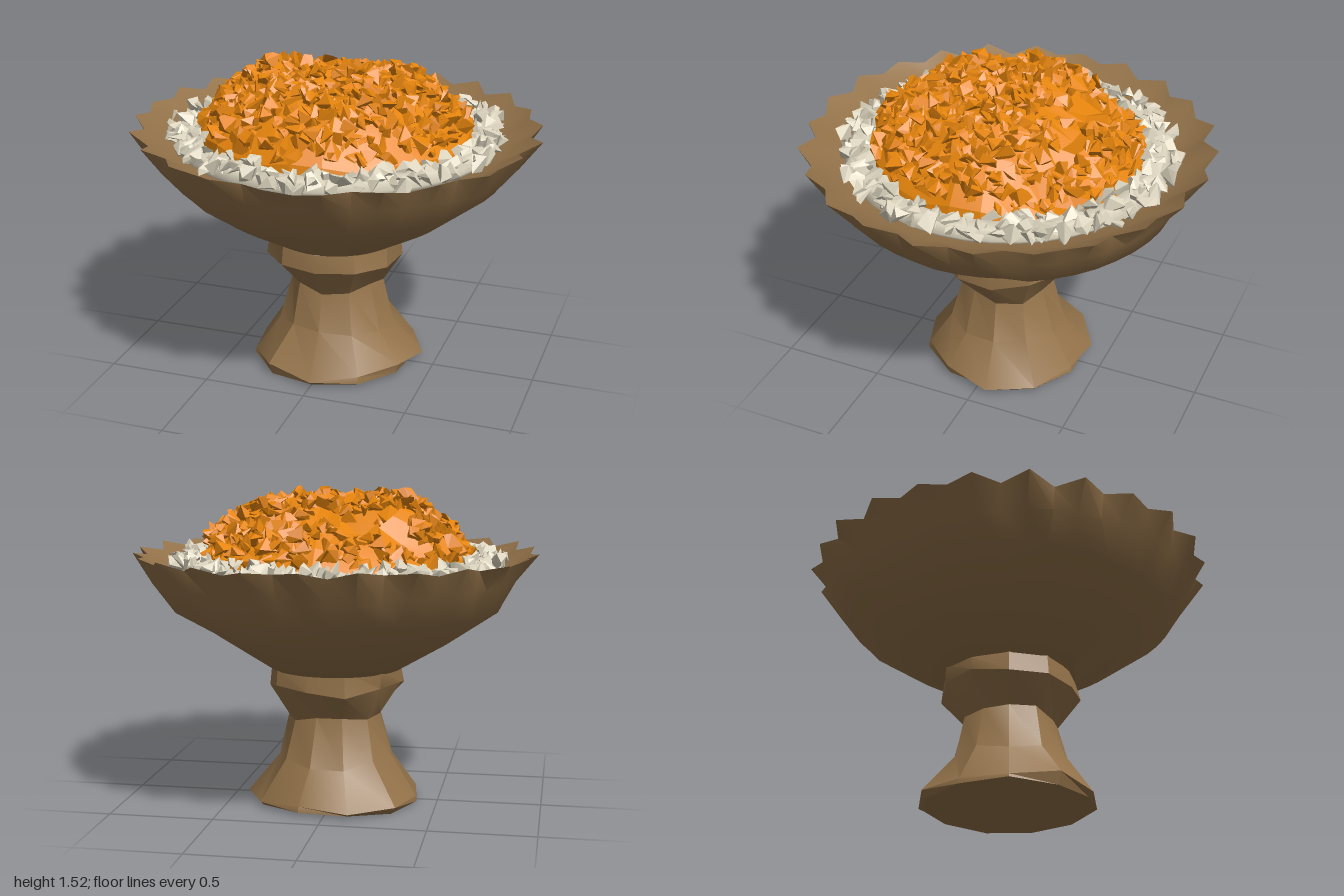
import * as THREE from 'three';
import { mergeGeometries, toCreasedNormals } from 'three/addons/utils/BufferGeometryUtils.js';
import { ConvexGeometry } from 'three/addons/geometries/ConvexGeometry.js';

// small seeded random generator
let seed = 7;
const rnd = () => {
  seed = (seed * 16807) % 2147483647;
  return seed / 2147483647;
};
const range = (a, b) => a + (b - a) * rnd();

// flat material helper
const mat = (name, color, side = THREE.FrontSide) => {
  const m = new THREE.MeshStandardMaterial({ color, side });
  m.name = name;
  return m;
};

// lathe whose vertices are moved by rule(x, y, z, segment, ring); the seam stays closed
function roughLathe(profile, segments, rule, crease) {
  const geo = new THREE.LatheGeometry(profile.map(([r, y]) => new THREE.Vector2(r, y)), segments);
  const p = geo.attributes.position;
  for (let i = 0; i < p.count; i++) {
    const ring = i % profile.length;
    const seg = Math.floor(i / profile.length) % segments;
    const v = new THREE.Vector3().fromBufferAttribute(p, i);
    rule(v, seg, ring);
    p.setXYZ(i, v.x, v.y, v.z);
  }
  geo.deleteAttribute('normal');
  return toCreasedNormals(geo, crease);
}

// repeatable wobble for a segment and ring, between -1 and 1
const wobble = (a, b) => Math.sin(a * 12.9 + b * 7.7 + Math.sin(a * 4.1 + b * 2.3) * 3);

// convex shard with random corners
function shard(x, y, z, size) {
  const pts = [];
  for (let i = 0; i < 7; i++) {
    const u = range(-1, 1), a = range(0, Math.PI * 2), s = Math.sqrt(1 - u * u);
    const r = size * range(0.75, 1.1);
    pts.push(new THREE.Vector3(s * Math.cos(a) * r, u * r, s * Math.sin(a) * r));
  }
  return new ConvexGeometry(pts).translate(x, y, z);
}

// height of the orange heap: a broad dome with a trough towards the back
const heapCurve = [[0, 1.45], [0.36, 1.44], [0.5, 1.35], [0.6, 1.27], [0.66, 1.18]];
function heapHeight(x, z) {
  const r = Math.hypot(x, z);
  let y = 1.18;
  for (let i = 1; i < heapCurve.length; i++) {
    const [r0, y0] = heapCurve[i - 1], [r1, y1] = heapCurve[i];
    if (r >= r0 && r <= r1) y = y0 + ((y1 - y0) * (r - r0)) / (r1 - r0);
  }
  const trough = 0.1 * Math.exp(-(((z + 0.31) / 0.08) ** 2));
  const dent = 0.03 * Math.exp(-(((z - 0.15) / 0.07) ** 2));
  const lumps = 0.02 * Math.sin(x * 13 + 1) * Math.cos(z * 11);
  return Math.max(1.18, y - trough - dent + lumps - (z < -0.3 ? 0.03 : 0));
}

export function createModel() {
  seed = 7;
  const model = new THREE.Group();
  const wood = mat('brown wood', 0x94734a, THREE.DoubleSide);
  const stone = mat('pale stone', 0xded6c0);
  const ember = mat('orange ember', 0xe5840c);
  const add = (name, geo, material) => {
    const mesh = new THREE.Mesh(geo, material);
    mesh.name = name;
    model.add(mesh);
  };

  // pedestal: spreading foot, narrow waist and collar
  const foot = [[0, 0.015], [0.4, 0.015], [0.42, 0.05], [0.28, 0.22], [0.225, 0.43], [0.335, 0.58], [0.32, 0.67]];
  add('pedestal', roughLathe(foot, 11, (v, seg, ring) => {
    if (ring === 0) return;
    const k = 1 + 0.035 * wobble(seg, ring);
    v.x *= k;
    v.z *= k;
    if (ring > 1) v.y += 0.018 * wobble(seg + 5, ring);
    else v.y += 0.012 * wobble(seg, 3);
  }, 0.5), wood);

  // bowl: flared outside, ragged rim and shallow inside
  const outside = [[0, 0.66], [0.32, 0.66], [0.56, 0.81], [0.79, 0.97], [0.87, 1.09], [0.95, 1.215]];
  const inside = [[0.8, 1.13], [0.6, 1.1], [0, 1.1]];
  const rim = 5;
  add('bowl', roughLathe([...outside, ...inside], 48, (v, seg, ring) => {
    let k = 1;
    if (ring === rim) {
      k = (seg % 2 ? 0.965 : 1.025) + 0.012 * wobble(seg, 1);
      v.y += (seg % 2 ? -0.012 : 0.01) + 0.008 * wobble(seg, 2);
    } else if (ring > 1 && ring < rim) {
      k = 1 + 0.016 * wobble(Math.floor(seg / 4), ring);
      v.y += 0.015 * wobble(Math.floor(seg / 4) + 3, ring);
    }
    v.x *= k;
    v.z *= k;
  }, 0.6), wood);

  // ring of pale stones around the heap
  const bed = new THREE.TorusGeometry(0.7, 0.07, 6, 40).rotateX(Math.PI / 2).scale(1, 0.6, 1).translate(0, 1.15, 0);
  add('stoneBed', bed, stone);
  const stones = [];
  for (let i = 0; i < 230; i++) {
    const a = (i / 230) * Math.PI * 2 + range(-0.03, 0.03);
    const r = [0.66, 0.72, 0.77][i % 3] + range(-0.02, 0.02);
    stones.push(shard(r * Math.cos(a), range(1.165, 1.2), r * Math.sin(a), range(0.04, 0.06)));
  }
  add('stones', mergeGeometries(stones), stone);

  // solid heap under the shards
  const core = [[0.66, 1.12], [0.64, 1], [0.56, 1], [0.46, 1], [0.36, 1], [0.24, 1], [0.12, 1], [0, 1]];
  add('heap', roughLathe(core, 28, (v, seg, ring) => {
    if (ring > 0) v.y = heapHeight(v.x, v.z);
  }, 0.2), ember);

  // shards scattered evenly over the heap, sparser in the trough
  const shards = [];
  const total = 760;
  for (let i = 0; i < total; i++) {
    const r = 0.62 * Math.sqrt((i + 0.5) / total);
    const a = i * 2.39996 + range(-0.1, 0.1);
    const x = r * Math.cos(a), z = r * Math.sin(a);
    const bare = x > -0.38 && x < 0.22 && z > -0.46 && z < -0.18;
    if (bare && rnd() < 0.75) continue;
    shards.push(shard(x, heapHeight(x, z) + range(-0.01, 0.025), z, range(0.035, 0.062)));
  }
  add('embers', mergeGeometries(shards), ember);

  return model;
}
